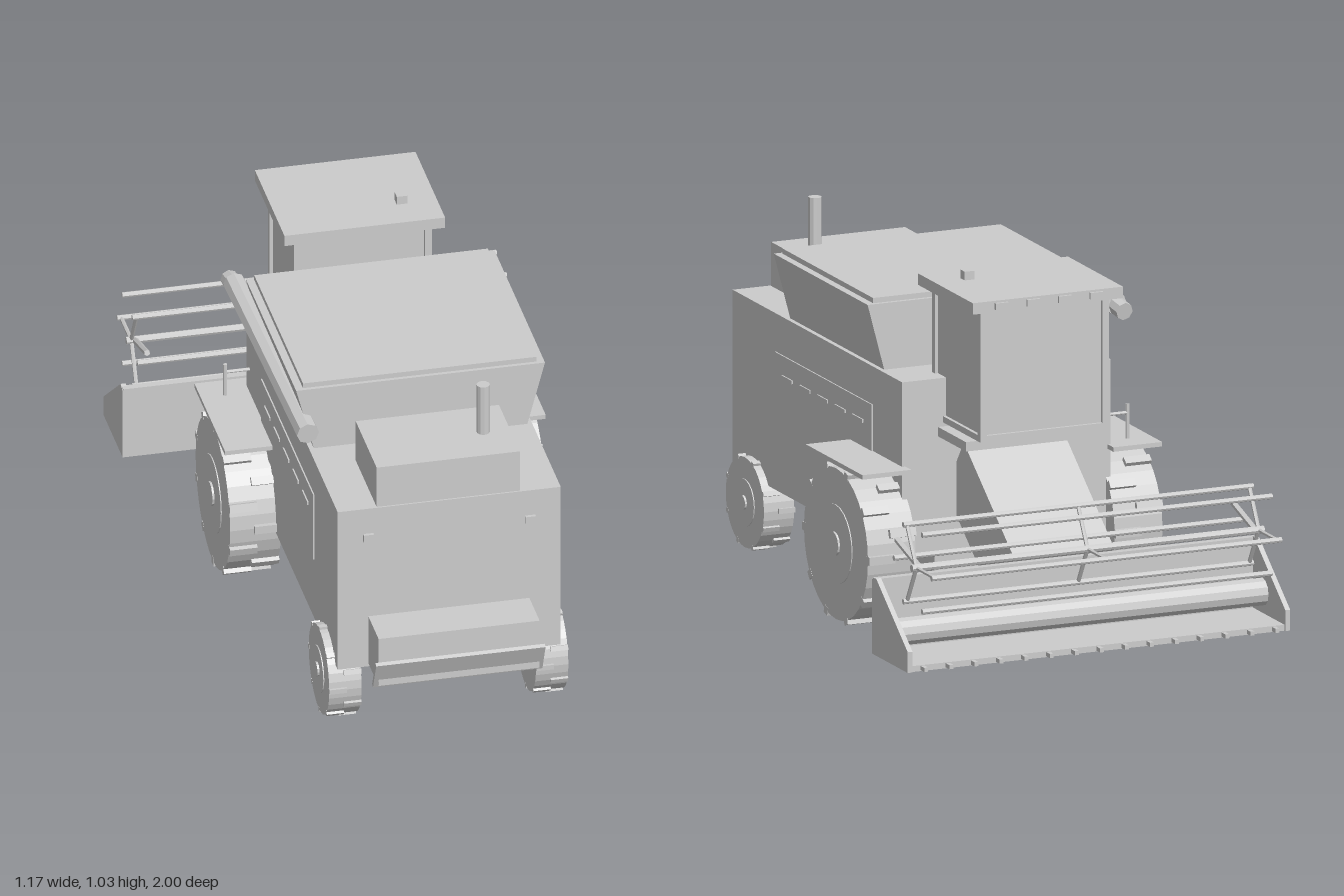
import * as THREE from 'three';

const mat = new THREE.MeshStandardMaterial({ color: 0xcccccc, flatShading: true, side: THREE.DoubleSide });

export function createModel() {
  const root = new THREE.Group();
  root.name = 'combineHarvester';

  const add = (name, geo, parent = root) => {
    const m = new THREE.Mesh(geo, mat);
    m.name = name;
    parent.add(m);
    return m;
  };
  // box given by its min and max on each axis
  const box = (name, x0, x1, y0, y1, z0, z1, parent) => {
    const m = add(name, new THREE.BoxGeometry(x1 - x0, y1 - y0, z1 - z0), parent);
    m.position.set((x0 + x1) / 2, (y0 + y1) / 2, (z0 + z1) / 2);
    return m;
  };
  // round bar between two points
  const bar = (name, a, b, r, sides = 8, parent) => {
    const p = new THREE.Vector3(...a), q = new THREE.Vector3(...b);
    const m = add(name, new THREE.CylinderGeometry(r, r, p.distanceTo(q), sides), parent);
    m.position.copy(p).add(q).multiplyScalar(0.5);
    m.quaternion.setFromUnitVectors(new THREE.Vector3(0, 1, 0), q.sub(p).normalize());
    return m;
  };
  const polygon = (pts, depth) => new THREE.ExtrudeGeometry(
    new THREE.Shape(pts.map(p => new THREE.Vector2(...p))), { depth, bevelEnabled: false });

  // body and chassis
  box('body', -0.32, 0.32, 0.21, 0.72, -0.31, 0.845);
  box('chassis', -0.207, 0.207, 0.15, 0.22, -0.28, 0.62);
  box('engineCover', -0.207, 0.204, 0.71, 0.847, 0.575, 0.84);
  bar('exhaustPipe', [0.128, 0.84, 0.71], [0.128, 1.0, 0.71], 0.019, 10);

  // grain tank flaring outward to a rim
  const tank = add('grainTank', polygon([[-0.305, 0.715], [0.305, 0.715], [0.357, 0.912], [-0.357, 0.912]], 0.64));
  tank.position.z = -0.157;
  box('tankLid', -0.335, 0.335, 0.91, 0.927, -0.145, 0.472);

  // side panels with slots, rear lamps
  for (const s of [-1, 1]) {
    const panel = box('sidePanel', -0.003, 0.003, 0.4, 0.61, -0.11, 0.55);
    panel.position.x = s * 0.321;
    for (let i = 0; i < 5; i++) {
      const z = 0.46 - i * 0.12;
      box('panelSlot', s * 0.325 - 0.003, s * 0.325 + 0.003, 0.545, 0.555, z - 0.035, z + 0.035);
    }
    box('rearLamp', s * 0.232 - 0.015, s * 0.232 + 0.015, 0.617, 0.64, 0.84, 0.855);
  }

  // straw chopper and its deflector
  box('strawChopper', -0.232, 0.23, 0.22, 0.372, 0.84, 0.975);
  const deflector = add('deflector', new THREE.BoxGeometry(0.486, 0.1, 0.012));
  deflector.position.set(-0.002, 0.257, 0.976);
  deflector.rotation.x = 0.42;

  // cab
  const cab = new THREE.Group();
  cab.name = 'cab';
  root.add(cab);
  box('cabGlass', -0.19, 0.185, 0.6, 0.97, -0.556, -0.245, cab);
  box('cabFloor', -0.2, 0.195, 0.592, 0.61, -0.566, -0.235, cab);
  for (const x of [-0.2, 0.175]) for (const z of [-0.566, -0.255])
    box('cabPillar', x, x + 0.02, 0.6, 0.972, z, z + 0.02, cab);
  box('cabRoof', -0.233, 0.228, 0.97, 1.003, -0.587, -0.212, cab);
  box('beacon', 0.112, 0.142, 1.0, 1.028, -0.341, -0.312, cab);
  for (let i = 0; i < 4; i++) {
    const x = -0.15 + i * 0.097;
    box('roofLamp', x - 0.02, x + 0.02, 0.978, 0.997, -0.595, -0.585, cab);
  }
  box('cabPlatform', -0.21, 0.21, 0.553, 0.58, -0.5, -0.3);

  // unloading auger along the right side
  bar('unloadingAuger', [-0.335, 0.8, 0.535], [-0.372, 0.857, -0.235], 0.032, 8);
  bar('augerSpout', [-0.371, 0.856, -0.21], [-0.376, 0.845, -0.28], 0.026, 8);

  // fenders and handrail
  for (const s of [-1, 1])
    box('fender', Math.min(s * 0.31, s * 0.46), Math.max(s * 0.31, s * 0.46), 0.463, 0.476, -0.35, 0.037);
  bar('handrailPost', [-0.39, 0.47, -0.27], [-0.39, 0.575, -0.27], 0.006);
  bar('handrail', [-0.39, 0.55, -0.27], [-0.31, 0.55, -0.27], 0.005);

  // wheels: tyre with two staggered rows of lugs, rim and hub
  const wheel = (name, side, x0, x1, y, z, r, lugs, lugH) => {
    const g = new THREE.Group();
    g.name = name;
    g.position.set(side * (x0 + x1) / 2, y, z);
    root.add(g);
    const w = x1 - x0;
    const disc = (part, rad, half0, half1, n) =>
      bar(part, [side * half0, 0, 0], [side * half1, 0, 0], rad, n, g);
    disc('tyre', r, -w / 2, w / 2, 32);
    disc('rim', r * 0.52, 0, w / 2 + 0.003, 24);
    disc('hub', r * 0.16, 0, w / 2 + 0.009, 12);
    for (let i = 0; i < lugs; i++) {
      const a = (i / lugs) * Math.PI * 2, row = i % 2 ? 1 : -1;
      const lug = add('lug', new THREE.BoxGeometry(w * 0.54, lugH * 2, r * 0.11), g);
      lug.position.set(row * w * 0.235, Math.cos(a) * r, Math.sin(a) * r);
      lug.rotation.x = a;
    }
  };
  for (const s of [-1, 1]) {
    wheel('driveWheel', s, 0.305, 0.452, 0.232, -0.152, 0.218, 20, 0.012);
    wheel('steeringWheel', s, 0.25, 0.343, 0.14, 0.71, 0.13, 16, 0.007);
  }

  // sloping feeder house
  const feeder = add('feederHouse', new THREE.BoxGeometry(0.306, 0.208, 0.413));
  feeder.position.set(0, 0.334, -0.4625);
  feeder.rotation.x = -0.638;

  // header trough with end plates, auger and cutter fingers
  const header = new THREE.Group();
  header.name = 'header';
  root.add(header);
  box('headerBack', -0.585, 0.585, 0.055, 0.275, -0.72, -0.698, header);
  box('headerFloor', -0.585, 0.585, 0.055, 0.072, -0.935, -0.7, header);
  const profile = [[0.698, 0.055], [0.94, 0.055], [0.94, 0.115], [0.725, 0.278], [0.698, 0.27]];
  for (const x of [-0.572, 0.587]) {
    const plate = add('endPlate', polygon(profile, 0.015), header);
    plate.rotation.y = Math.PI / 2;
    plate.position.x = x - 0.015;
  }
  bar('headerAuger', [-0.57, 0.135, -0.79], [0.57, 0.135, -0.79], 0.04, 12, header);
  for (let i = -7; i <= 7; i++)
    box('cutterFinger', i * 0.077 - 0.006, i * 0.077 + 0.006, 0.058, 0.07, -0.96, -0.93, header);

  // reel: six bars around a shaft, three-armed spiders, two support arms
  const reel = new THREE.Group();
  reel.name = 'reel';
  reel.position.set(0, 0.334, -0.862);
  root.add(reel);
  const R = 0.128;
  bar('reelShaft', [-0.54, 0, 0], [0.54, 0, 0], 0.011, 8, reel);
  for (let i = 0; i < 6; i++) {
    const a = i * Math.PI / 3, y = Math.sin(a) * R, z = -Math.cos(a) * R;
    bar('reelBar', [-0.537, y, z], [0.537, y, z], 0.008, 8, reel);
    if (i % 2 === 0) for (const x of [-0.525, 0, 0.525])
      bar('reelSpider', [x, 0, 0], [x, y, z], 0.006, 6, reel);
  }
  for (const s of [-1, 1])
    bar('reelSupport', [s * 0.515, 0.045, 0.155], [s * 0.515, 0, 0], 0.009, 6, reel);

  return root;
}
